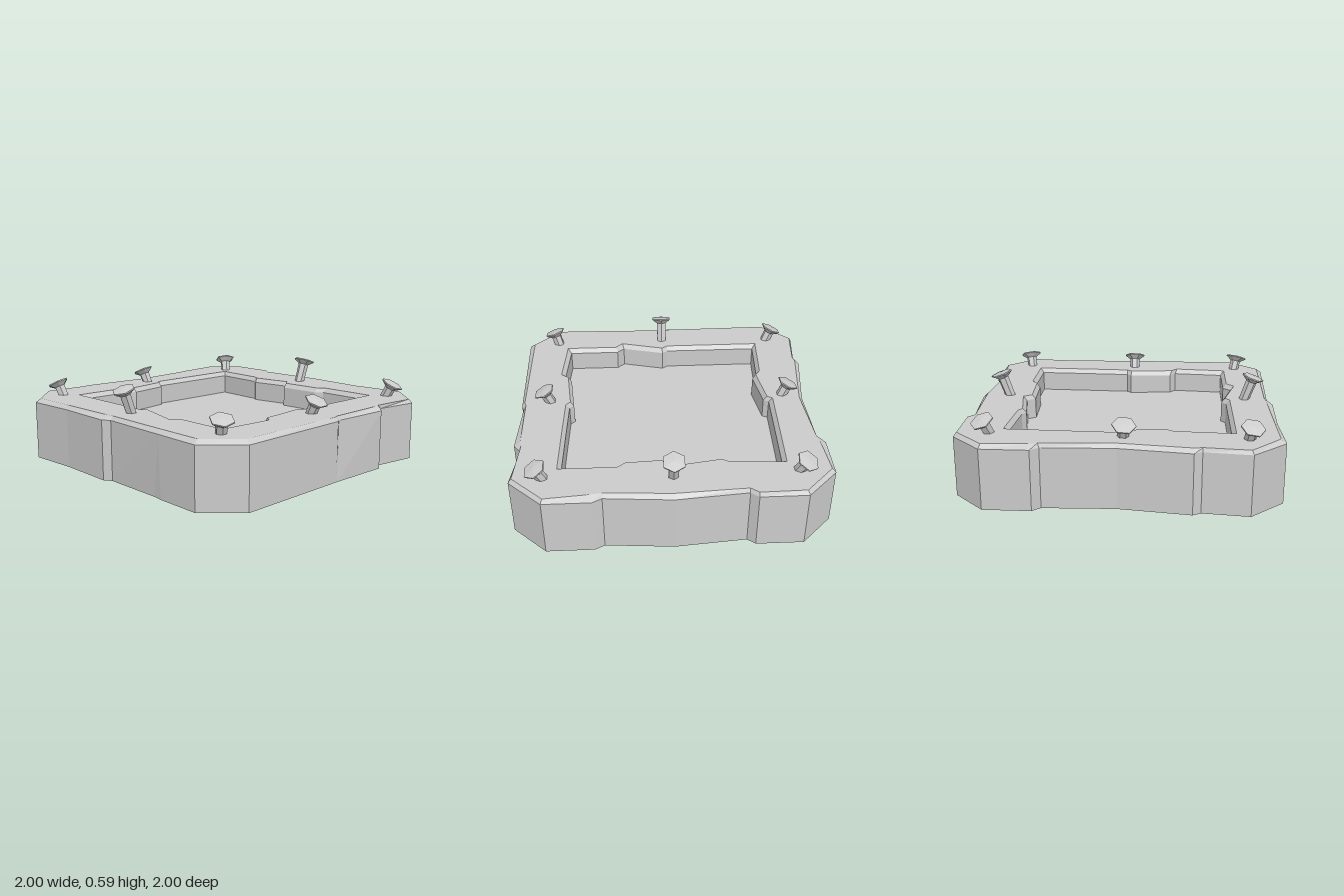
import * as THREE from 'three';

const material = new THREE.MeshStandardMaterial({ color: 0xcccccc, flatShading: true });

// Outer outline, clockwise from the back left: wall x, z then top rim x, z (shoulder x, z if it differs)
const outer = [
  [-0.80, -1.00, -0.79, -0.98], [-0.50, -1.00, -0.50, -0.985], [-0.45, -0.96, -0.45, -0.945],
  [0, -1.00, 0, -0.97], [0.43, -0.967, 0.43, -0.945], [0.49, -1.00, 0.50, -0.955], [0.79, -1.00, 0.78, -0.98],
  [1.00, -0.80, 0.98, -0.79], [0.955, -0.50, 0.95, -0.47], [1.00, -0.44, 0.96, -0.43],
  [0.99, -0.01, 0.96, -0.025, 0.975, -0.025], [0.99, 0, 0.97, 0], [1.00, 0.79, 0.965, 0.78],
  [0.79, 1.00, 0.78, 0.965], [0.49, 0.99, 0.47, 0.96, 0.47, 0.987], [0.42, 0.98, 0.46, 0.96, 0.46, 0.987],
  [0, 0.968, 0, 0.948], [-0.05, 1.00, -0.05, 0.955], [-0.45, 0.985, -0.45, 0.96], [-0.80, 1.00, -0.79, 0.965],
  [-1.00, 0.79, -0.985, 0.78], [-0.97, 0.50, -0.96, 0.50], [-1.00, 0.45, -0.97, 0.45],
  [-0.94, 0, -0.915, -0.02], [-0.955, -0.45, -0.945, -0.46], [-1.00, -0.50, -0.955, -0.50], [-1.00, -0.80, -0.975, -0.79],
];

// Cracked outline of the sunken middle, in the same order
const pit = [
  [-0.71, -0.71], [-0.35, -0.69], [-0.31, -0.665], [-0.04, -0.71], [0, -0.655], [0.29, -0.67], [0.34, -0.71], [0.71, -0.71],
  [0.70, -0.34], [0.69, -0.03], [0.66, 0], [0.69, 0.31], [0.74, 0.35], [0.71, 0.71],
  [0.35, 0.71], [0.30, 0.76], [0, 0.68], [-0.04, 0.71], [-0.71, 0.71],
  [-0.69, 0.33], [-0.655, 0.28], [-0.695, 0], [-0.73, -0.02],
];

// Side faces between two outlines; they face inward when the first is the lower one
function loft(outlineA, yA, outlineB, yB) {
  const positions = [];
  outlineA.forEach(([ax, az], i) => {
    const j = (i + 1) % outlineA.length;
    const a = [ax, yA, az], b = [outlineA[j][0], yA, outlineA[j][1]];
    const c = [outlineB[j][0], yB, outlineB[j][1]], d = [outlineB[i][0], yB, outlineB[i][1]];
    positions.push(...a, ...b, ...c, ...a, ...c, ...d);
  });
  const geometry = new THREE.BufferGeometry();
  geometry.setAttribute('position', new THREE.Float32BufferAttribute(positions, 3));
  geometry.computeVertexNormals();
  return geometry;
}

// Flat face of an outline, facing up or down, with an optional hole
function flat(outline, y, up = true, hole = null) {
  const points = (list) => list.map(([x, z]) => new THREE.Vector2(x, up ? -z : z));
  const shape = new THREE.Shape(points(outline));
  if (hole) shape.holes.push(new THREE.Path(points(hole)));
  return new THREE.ShapeGeometry(shape).rotateX(up ? -Math.PI / 2 : Math.PI / 2).translate(0, y, 0);
}

// Six-sided nail from its foot to the middle of its head
function makeNail(foot, head) {
  const from = new THREE.Vector3(...foot), to = new THREE.Vector3(...head);
  const direction = to.clone().sub(from);
  const length = direction.length();
  const profile = [
    [0.034, -length - 0.02], [0.037, -0.035], [0.074, -0.008], [0.074, 0], [0, 0.008],
  ].map(([r, y]) => new THREE.Vector2(r, y));
  const geometry = new THREE.LatheGeometry(profile, 6).toNonIndexed();
  geometry.computeVertexNormals();
  const nail = new THREE.Mesh(geometry, material);
  nail.position.copy(to);
  nail.quaternion.setFromUnitVectors(new THREE.Vector3(0, 1, 0), direction.normalize());
  return nail;
}

export function createModel() {
  const model = new THREE.Group();
  const add = (name, geometry) => {
    const mesh = new THREE.Mesh(geometry, material);
    mesh.name = name;
    model.add(mesh);
  };

  // Block with chipped sides and a bevelled rim
  const base = outer.map(([x, z]) => [x, z]);
  const shoulder = outer.map(([x, z, , , sx = x, sz = z]) => [sx, sz]);
  const rim = outer.map(([, , x, z]) => [x, z]);
  add('underside', flat(base, 0, false));
  add('outerWalls', loft(shoulder, 0.385, base, 0));
  add('outerBevel', loft(rim, 0.41, shoulder, 0.385));
  add('topFrame', flat(rim, 0.41, true, pit));

  // Sunken middle
  const pitWall = pit.map(([x, z]) => [x * 0.965, z * 0.965]);
  add('innerBevel', loft(pitWall, 0.38, pit, 0.41));
  add('innerWalls', loft(pitWall, 0.245, pitWall, 0.38));
  add('sunkenFloor', flat(pitWall, 0.245));

  // Nails leaning outward around the frame
  const nails = [
    [[-0.775, 0.41, -0.785], [-0.815, 0.497, -0.815]],
    [[0, 0.41, -0.81], [0, 0.565, -0.865]],
    [[0.795, 0.41, -0.79], [0.835, 0.495, -0.805]],
    [[0.795, 0.41, 0.02], [0.835, 0.495, 0.02]],
    [[0.78, 0.41, 0.79], [0.81, 0.5, 0.81]],
    [[0, 0.41, 0.81], [0, 0.565, 0.865]],
    [[-0.8, 0.41, 0.78], [-0.84, 0.495, 0.795]],
    [[-0.8, 0.41, 0.03], [-0.84, 0.495, 0.038]],
  ];
  nails.forEach(([foot, head], i) => {
    const nail = makeNail(foot, head);
    nail.name = `nail${i + 1}`;
    model.add(nail);
  });
  return model;
}
